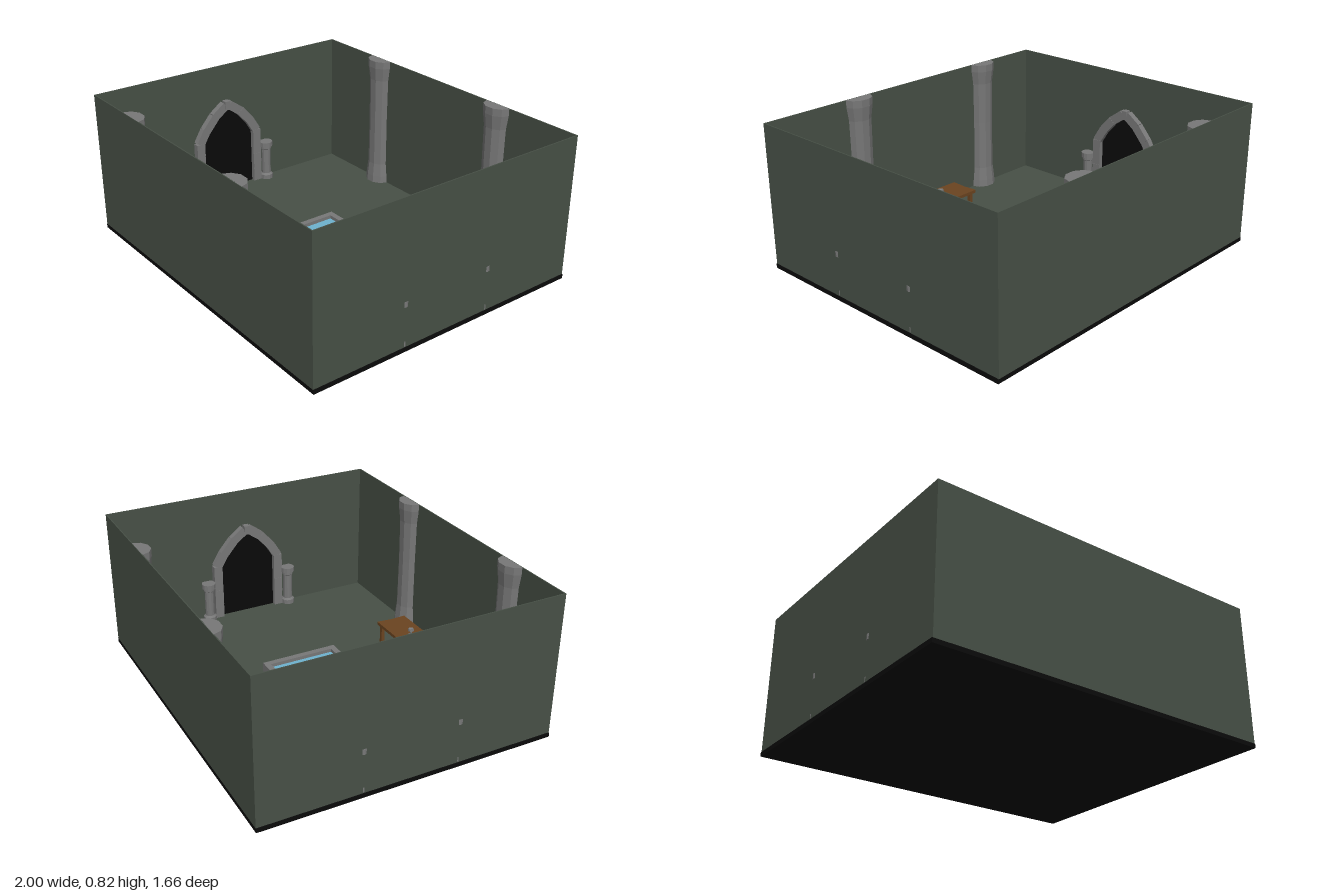
import * as THREE from 'three';

const mat = (name, color, extra = {}) => {
  const m = new THREE.MeshStandardMaterial({ color, flatShading: true, ...extra });
  m.name = name;
  return m;
};

export function createModel() {
  const root = new THREE.Group();
  root.name = 'chamber';
  const wallMat = mat('mossy wall green', 0x475046, { side: THREE.DoubleSide });
  const baseMat = mat('base black', 0x0b0b0b);
  const stoneMat = mat('stone grey', 0x777777, { side: THREE.DoubleSide });
  const woodMat = mat('wood brown', 0x6b4420);
  const waterMat = mat('water blue', 0x6eb1cd);
  const darkMat = mat('doorway black', 0x0a0a0a, { side: THREE.DoubleSide });

  const add = (parent, name, geo, material, x = 0, y = 0, z = 0) => {
    const mesh = new THREE.Mesh(geo, material);
    mesh.name = name;
    mesh.position.set(x, y, z);
    parent.add(mesh);
    return mesh;
  };
  const box = (w, h, d) => new THREE.BoxGeometry(w, h, d);
  const group = (name, x = 0, y = 0, z = 0) => {
    const g = new THREE.Group();
    g.name = name;
    g.position.set(x, y, z);
    root.add(g);
    return g;
  };

  const D = 0.828, FLOOR = 0.028, TOP = 0.822, H = TOP - 0.024;

  // Slab, floor and thin walls
  add(root, 'base', box(2, 0.024, D * 2), baseMat, 0, 0.012, 0);
  add(root, 'floor', box(1.99, 0.004, D * 2 - 0.01), wallMat, 0, 0.026, 0);
  for (const s of [-1, 1]) {
    add(root, s > 0 ? 'frontWall' : 'backWall', box(1.992, H, 0.006), wallMat, 0, 0.024 + H / 2, s * (D - 0.003));
    add(root, s > 0 ? 'leftWall' : 'rightWall', box(0.006, H, D * 2), wallMat, s * 0.993, 0.024 + H / 2, 0);
  }

  // Half columns against the front and back walls, flared at both ends
  const columnRings = [[0.085, FLOOR], [0.082, 0.07], [0.072, 0.15], [0.07, 0.45], [0.073, 0.7], [0.085, 0.78], [0.085, TOP]];
  const columnProfile = [...columnRings.map(([r, y]) => new THREE.Vector2(r, y)), new THREE.Vector2(0, TOP)];
  for (const [x, s] of [[-0.51, -1], [0.455, -1], [-0.58, 1], [0.385, 1]]) {
    const geo = new THREE.LatheGeometry(columnProfile, 5, -Math.PI / 2, Math.PI).scale(1, 1, 0.85);
    const col = add(root, 'wallColumn', geo, stoneMat, x, 0, s * (D - 0.003));
    if (s > 0) col.rotation.y = Math.PI;
  }

  // Square pool: stone rim with water inside
  const pool = group('pool');
  for (const s of [-1, 1]) {
    add(pool, 'poolRim', box(0.45, 0.06, 0.034), stoneMat, 0, FLOOR + 0.03, s * 0.208);
    add(pool, 'poolRim', box(0.034, 0.06, 0.382), stoneMat, s * 0.208, FLOOR + 0.03, 0);
  }
  add(pool, 'water', box(0.382, 0.04, 0.382), waterMat, 0, FLOOR + 0.02, 0);

  // Table with slightly notched ends
  const table = group('table', 0.003, 0, 0.6);
  const outline = [[-0.205, -0.09], [0.2, -0.09], [0.196, 0], [0.206, 0.09], [-0.208, 0.09], [-0.2, 0]];
  const topShape = new THREE.Shape(outline.map(([x, y]) => new THREE.Vector2(x, y)));
  const topGeo = new THREE.ExtrudeGeometry(topShape, { depth: 0.018, bevelEnabled: false }).rotateX(-Math.PI / 2);
  add(table, 'tableTop', topGeo, woodMat, 0, 0.16, 0);
  for (const sx of [-1, 1]) for (const sz of [-1, 1]) {
    add(table, 'tableLeg', box(0.02, 0.132, 0.02), woodMat, sx * 0.18, 0.094, sz * 0.07);
  }
  // Small goblet on the table
  const cup = [[0, 0], [0.015, 0], [0.006, 0.006], [0.006, 0.015], [0.018, 0.024], [0.016, 0.036], [0, 0.028]];
  add(table, 'goblet', new THREE.LatheGeometry(cup.map(p => new THREE.Vector2(...p)), 8), stoneMat, -0.013, 0.178, 0.003);

  // Stone archways on the side walls; path points are [z, y]
  const path = [[0.2, FLOOR], [0.2, 0.12], [0.2, 0.21], [0.2, 0.29], [0.2, 0.37], [0.155, 0.445], [0.09, 0.52], [0.015, 0.575],
    [-0.015, 0.575], [-0.09, 0.52], [-0.155, 0.445], [-0.2, 0.37], [-0.2, 0.29], [-0.2, 0.21], [-0.2, 0.12], [-0.2, FLOOR]];
  const doorShape = new THREE.Shape(path.map(p => new THREE.Vector2(...p)));
  for (const [s, zc] of [[-1, -0.003], [1, 0.02]]) {
    const arch = group(s > 0 ? 'leftArchway' : 'rightArchway', s * 0.972, 0, zc);
    const door = add(arch, 'doorway', new THREE.ShapeGeometry(doorShape), darkMat, s * 0.008, 0, 0);
    door.rotation.y = -Math.PI / 2;
    for (let i = 0; i < path.length - 1; i++) {
      const [z0, y0] = path[i], [z1, y1] = path[i + 1];
      const len = Math.hypot(z1 - z0, y1 - y0);
      const block = add(arch, 'archStone', box(0.036 + (i % 2) * 0.004, 0.054, len + 0.004), stoneMat, 0, (y0 + y1) / 2, (z0 + z1) / 2);
      block.rotation.x = -Math.atan2(y1 - y0, z1 - z0);
    }
    // Short pillars with stepped caps either side of the arch
    const pillar = [[0.04, FLOOR], [0.04, 0.055], [0.028, 0.065], [0.028, 0.225], [0.034, 0.23], [0.034, 0.244],
      [0.042, 0.246], [0.042, 0.276], [0, 0.276]].map(p => new THREE.Vector2(...p));
    for (const k of [-1, 1]) {
      add(arch, 'archPillar', new THREE.LatheGeometry(pillar, 12), stoneMat, s * -0.015, 0, k * 0.267);
    }
  }
  return root;
}
